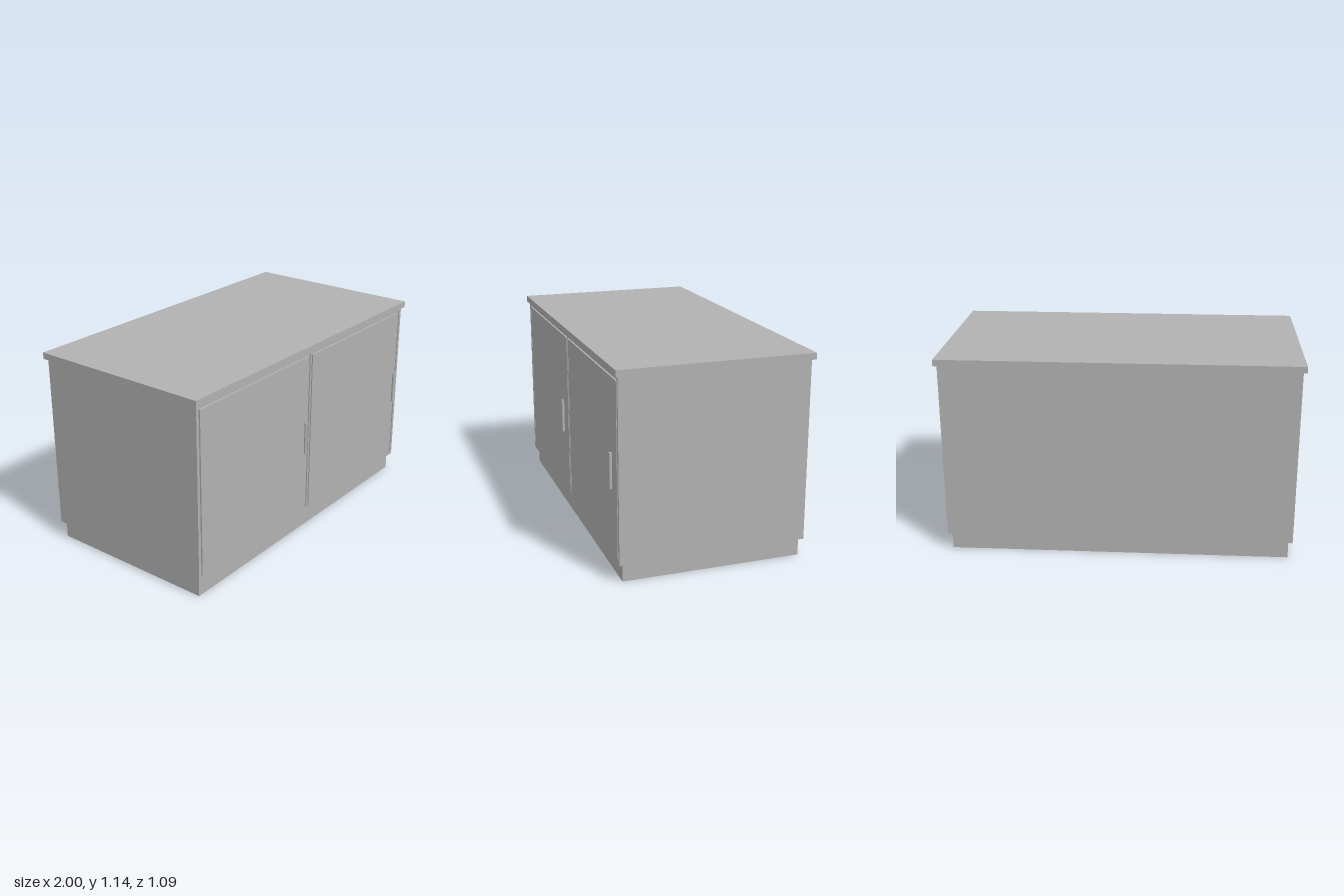
import * as THREE from 'three';

const grey = new THREE.MeshStandardMaterial({ color: 0xb2b2b2 });
grey.name = 'cabinet grey';

function add(group, name, geometry, x, y, z) {
  const mesh = new THREE.Mesh(geometry, grey);
  mesh.name = name;
  mesh.position.set(x, y, z);
  group.add(mesh);
}

// Box given by its half width and its y and z ranges
function slab(group, name, halfWidth, y0, y1, z0, z1) {
  const geometry = new THREE.BoxGeometry(halfWidth * 2, y1 - y0, z1 - z0);
  add(group, name, geometry, 0, (y0 + y1) / 2, (z0 + z1) / 2);
}

// Inverted-U slot that outlines the sides and top of a door
function doorGap(x0, x1) {
  const w = 0.01, bottom = 0.125, top = 1.086;
  return new THREE.Path([
    [x0, bottom], [x0, top], [x1, top], [x1, bottom],
    [x1 - w, bottom], [x1 - w, top - w], [x0 + w, top - w], [x0 + w, bottom],
  ].map(([x, y]) => new THREE.Vector2(x, y)));
}

export function createModel() {
  const group = new THREE.Group();
  group.name = 'cabinet';

  slab(group, 'plinth', 0.96, 0, 0.1, -0.507, 0.495);
  slab(group, 'carcass', 0.982, 0.1, 1.106, -0.527, 0.507);
  slab(group, 'countertop', 1, 1.106, 1.142, -0.544, 0.532);

  // Front panel with the gaps around both doors
  const front = new THREE.Shape([
    [-0.982, 0.1], [0.982, 0.1], [0.982, 1.106], [-0.982, 1.106],
  ].map(([x, y]) => new THREE.Vector2(x, y)));
  front.holes.push(doorGap(-0.963, -0.006), doorGap(0.006, 0.963));
  const panel = new THREE.ExtrudeGeometry(front, { depth: 0.01, bevelEnabled: false });
  add(group, 'doorFront', panel, 0, 0, 0.507);

  // Upright round bar handles
  for (const x of [-0.062, 0.91]) {
    add(group, 'doorHandle', new THREE.CylinderGeometry(0.009, 0.009, 0.192, 16), x, 0.599, 0.538);
  }
  return group;
}
